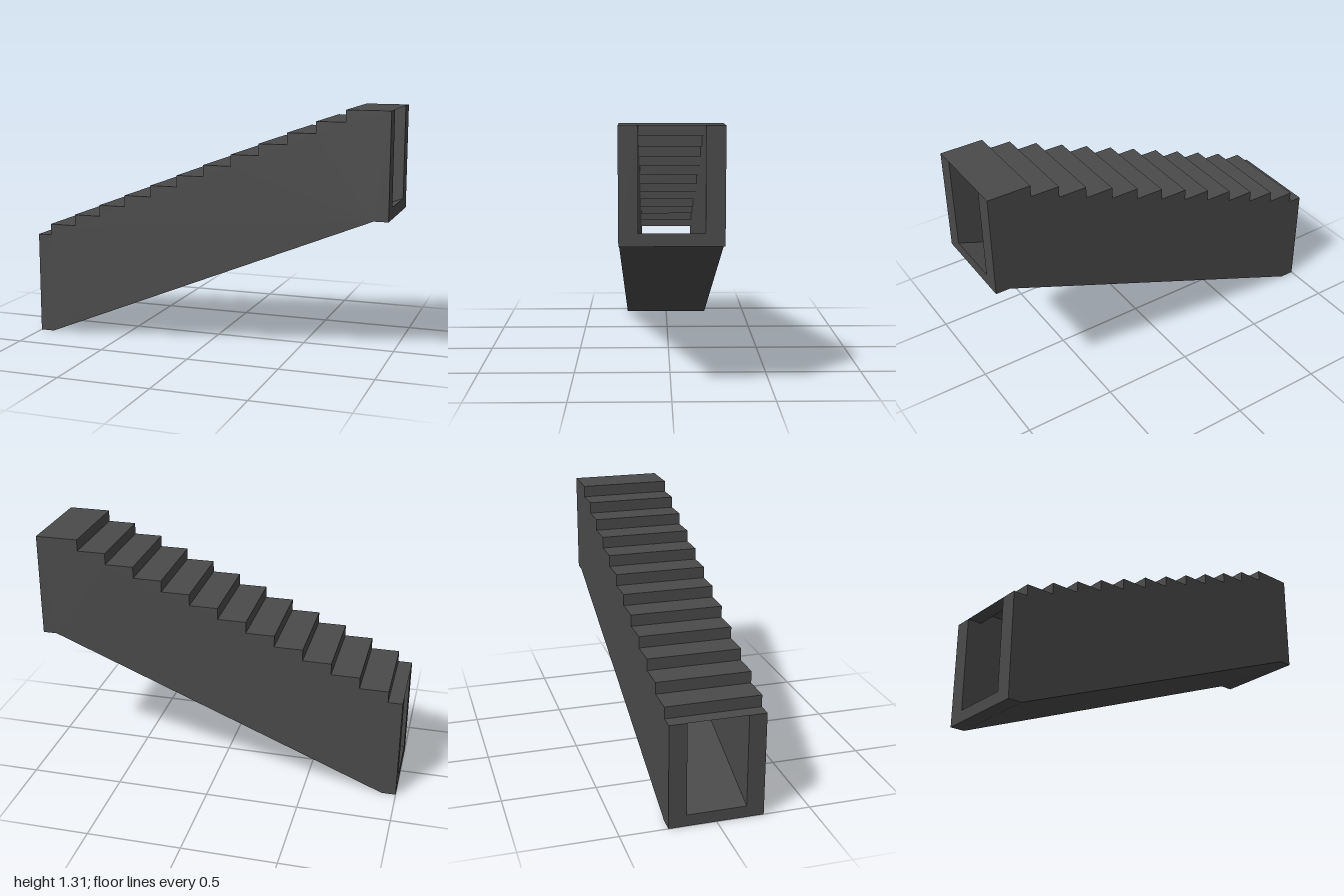
import * as THREE from 'three';

const STEPS = 12, RUN = 2 / 13, RISE = 0.0625;
const OUTER = 0.25, INNER = 0.157; // half widths of the body and the passage

// Stair outline from the low end to the high end
function stairPoints() {
  const pts = [[-1, 0.5625]];
  for (let i = 0; i < STEPS; i++) {
    const x = -1 + RUN / 2 + i * RUN, y = 0.5625 + i * RISE;
    pts.push([x, y], [x, y + RISE]);
  }
  pts.push([1, 0.5625 + STEPS * RISE]);
  return pts;
}

// Side profile extruded across z
function slab(name, pts, z0, z1, material) {
  const shape = new THREE.Shape(pts.map(p => new THREE.Vector2(p[0], p[1])));
  const geo = new THREE.ExtrudeGeometry(shape, { depth: z1 - z0, bevelEnabled: false });
  geo.translate(0, 0, z0);
  const mesh = new THREE.Mesh(geo, material);
  mesh.name = name;
  return mesh;
}

export function createModel() {
  const group = new THREE.Group();
  group.name = 'stairTunnel';
  const stone = new THREE.MeshStandardMaterial({ color: 0x4a4a4a, side: THREE.DoubleSide });
  stone.name = 'darkGrey';

  const stairs = stairPoints();
  const underside = [[1, 0.75], [1 - RUN / 2, 0.75], [-1 + RUN / 2, 0], [-1, 0]];

  // Side walls
  const wall = [...stairs, ...underside];
  group.add(slab('leftWall', wall, INNER, OUTER, stone));
  group.add(slab('rightWall', wall, -OUTER, -INNER, stone));

  // Sloping passage floor
  group.add(slab('floor', [[-1, 0.0625], [1, 0.8125], ...underside], -INNER, INNER, stone));

  // Thin stepped roof over the passage
  const pos = [];
  for (let i = 0; i < stairs.length - 1; i++) {
    const [ax, ay] = stairs[i], [bx, by] = stairs[i + 1];
    pos.push(ax, ay, INNER, bx, by, INNER, bx, by, -INNER);
    pos.push(ax, ay, INNER, bx, by, -INNER, ax, ay, -INNER);
  }
  const roofGeo = new THREE.BufferGeometry();
  roofGeo.setAttribute('position', new THREE.Float32BufferAttribute(pos, 3));
  roofGeo.computeVertexNormals();
  const roof = new THREE.Mesh(roofGeo, stone);
  roof.name = 'steppedRoof';
  group.add(roof);

  return group;
}
